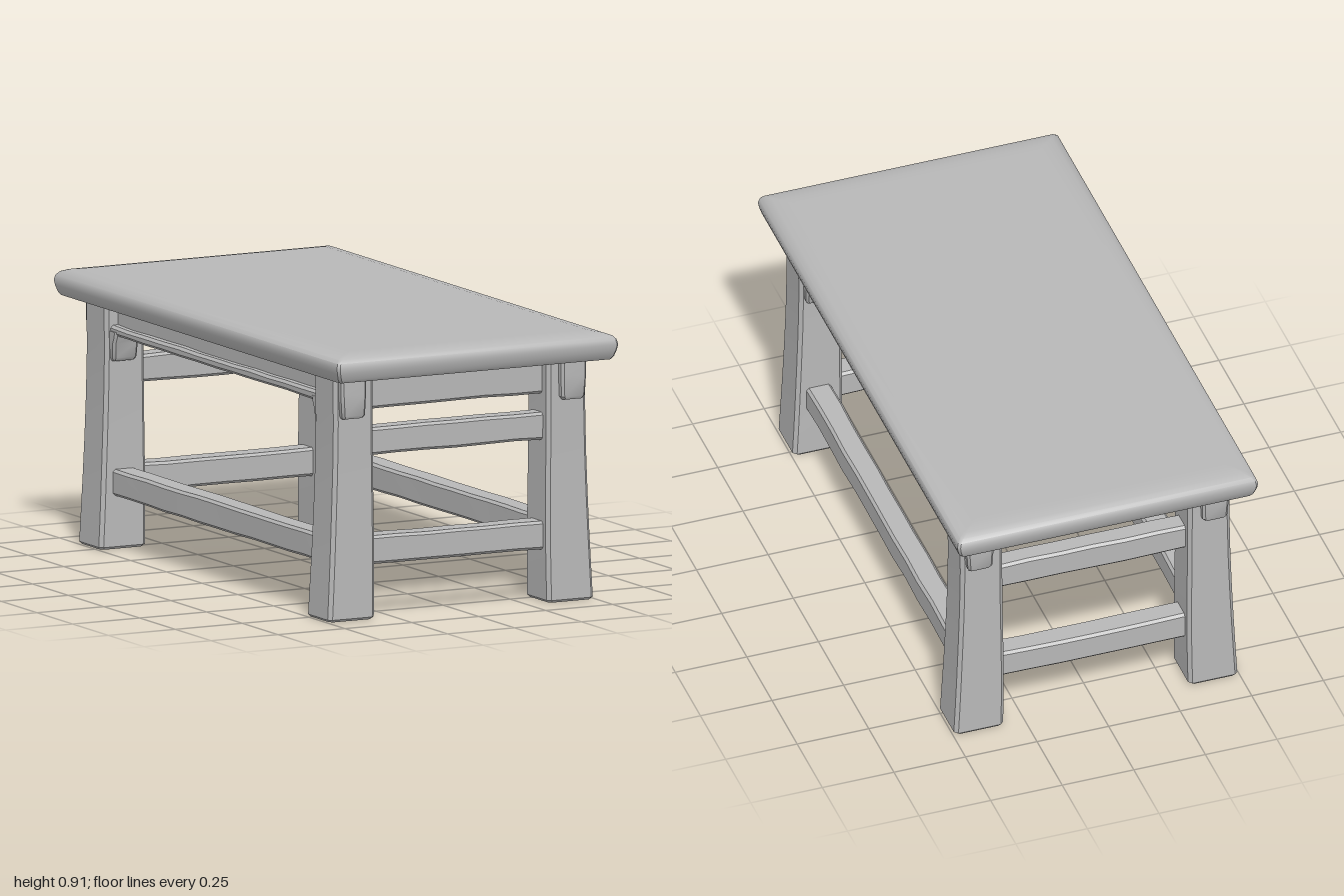
import * as THREE from 'three';
import { toCreasedNormals } from 'three/addons/utils/BufferGeometryUtils.js';

const wood = new THREE.MeshStandardMaterial({ color: 0xb8b8b8 });
wood.name = 'plain grey';

// Seeded noise for the slightly hand-hewn edges
let seed = 7;
const wobble = (amount) => {
  seed = (seed * 16807) % 2147483647;
  return (seed / 2147483647 - 0.5) * 2 * amount;
};

// Lofts chamfered rectangles stacked along y; each section is [y, x0, x1, z0, z1, chamfer]
function loft(sections) {
  const pos = [], index = [];
  for (const [y, x0, x1, z0, z1, c] of sections) {
    pos.push(
      x1 - c, y, z1, x1, y, z1 - c, x1, y, z0 + c, x1 - c, y, z0,
      x0 + c, y, z0, x0, y, z0 + c, x0, y, z1 - c, x0 + c, y, z1);
  }
  const n = sections.length;
  for (let s = 0; s < n - 1; s++) {
    for (let i = 0; i < 8; i++) {
      const a = s * 8 + i, b = s * 8 + (i + 1) % 8;
      index.push(a, b, b + 8, a, b + 8, a + 8);
    }
  }
  const top = (n - 1) * 8;
  for (let i = 1; i < 7; i++) {
    index.push(0, i + 1, i, top, top + i, top + i + 1);
  }
  const g = new THREE.BufferGeometry();
  g.setAttribute('position', new THREE.Float32BufferAttribute(pos, 3));
  g.setIndex(index);
  return toCreasedNormals(g, 0.6);
}

// Straight rail along y with slightly uneven faces
function railGeometry(length, width, depth) {
  const sections = [];
  const steps = Math.round(length / 0.12);
  for (let i = 0; i <= steps; i++) {
    const w = width / 2, d = depth / 2, j = 0.002;
    sections.push([(i / steps - 0.5) * length,
      -w + wobble(j), w + wobble(j), -d + wobble(j), d + wobble(j), 0.009]);
  }
  return loft(sections);
}

export function createModel() {
  const group = new THREE.Group();
  const add = (name, geometry, x = 0, y = 0, z = 0) => {
    const mesh = new THREE.Mesh(geometry, wood);
    mesh.name = name;
    mesh.position.set(x, y, z);
    group.add(mesh);
  };

  // Tabletop with a rounded rim: [inset, y]
  const rim = [[0.018, 0.817], [0.01, 0.828], [0.003, 0.85], [0, 0.868], [0.004, 0.884],
    [0.014, 0.895], [0.035, 0.903], [0.07, 0.908], [0.1, 0.908]];
  add('tabletop', loft(rim.map(([i, y]) => [y, -0.525 + i, 0.525 - i, -1 + i, 1 - i, 0.008])));

  // Leg: [y, inner x, outer x, inner z, outer z, chamfer]
  const leg = [
    [0, 0.33, 0.488, 0.727, 0.876, 0.012], [0.008, 0.323, 0.495, 0.721, 0.882, 0.012],
    [0.1, 0.321, 0.49, 0.722, 0.881, 0.012], [0.22, 0.32, 0.484, 0.725, 0.879, 0.012],
    [0.36, 0.321, 0.478, 0.727, 0.877, 0.012], [0.5, 0.323, 0.473, 0.728, 0.876, 0.012],
    [0.66, 0.324, 0.47, 0.728, 0.875, 0.012], [0.825, 0.324, 0.472, 0.728, 0.875, 0.012]];
  // Tab on the outer end face of each leg
  const tab = [
    [0.678, 0.375, 0.448, 0.86, 0.893, 0.008], [0.688, 0.367, 0.453, 0.86, 0.899, 0.008],
    [0.76, 0.364, 0.458, 0.86, 0.901, 0.008], [0.825, 0.364, 0.458, 0.86, 0.901, 0.008]];
  // Bracket beneath the long apron, inside each leg
  const bracket = [
    [0.63, 0.372, 0.45, 0.712, 0.75, 0.006], [0.642, 0.366, 0.455, 0.703, 0.75, 0.008],
    [0.69, 0.364, 0.458, 0.698, 0.75, 0.008], [0.71, 0.364, 0.458, 0.688, 0.75, 0.008],
    [0.73, 0.364, 0.458, 0.684, 0.75, 0.008]];

  const mirror = (sections, sx, sz) => sections.map(([y, a, b, c, d, e]) => [y,
    ...(sx > 0 ? [a, b] : [-b, -a]), ...(sz > 0 ? [c, d] : [-d, -c]), e]);

  for (const sx of [1, -1]) {
    for (const sz of [1, -1]) {
      const corner = (sz > 0 ? 'front' : 'back') + (sx > 0 ? 'Left' : 'Right');
      add(corner + 'Leg', loft(mirror(leg, sx, sz)));
      add(corner + 'Tab', loft(mirror(tab, sx, sz)));
      add(corner + 'Bracket', loft(mirror(bracket, sx, sz)));
    }
  }

  // Crosswise aprons and rails at both ends: [name, y centre, height, depth]
  const endRails = [['Apron', 0.758, 0.126, 0.06], ['UpperRail', 0.587, 0.092, 0.075],
    ['LowerRail', 0.223, 0.095, 0.085]];
  for (const sz of [1, -1]) {
    for (const [name, y, height, depth] of endRails) {
      add((sz > 0 ? 'front' : 'back') + name,
        railGeometry(0.67, height, depth).rotateZ(-Math.PI / 2), 0, y, sz * 0.805);
    }
  }

  // Lengthwise aprons, ledges and rails: [name, x centre, y centre, width, height]
  const sideRails = [['Apron', 0.4, 0.778, 0.055, 0.09], ['Ledge', 0.41, 0.731, 0.09, 0.032],
    ['LowerRail', 0.405, 0.222, 0.085, 0.09]];
  for (const sx of [1, -1]) {
    for (const [name, x, y, width, height] of sideRails) {
      add((sx > 0 ? 'left' : 'right') + name,
        railGeometry(1.48, width, height).rotateX(Math.PI / 2), sx * x, y, 0);
    }
  }
  return group;
}
